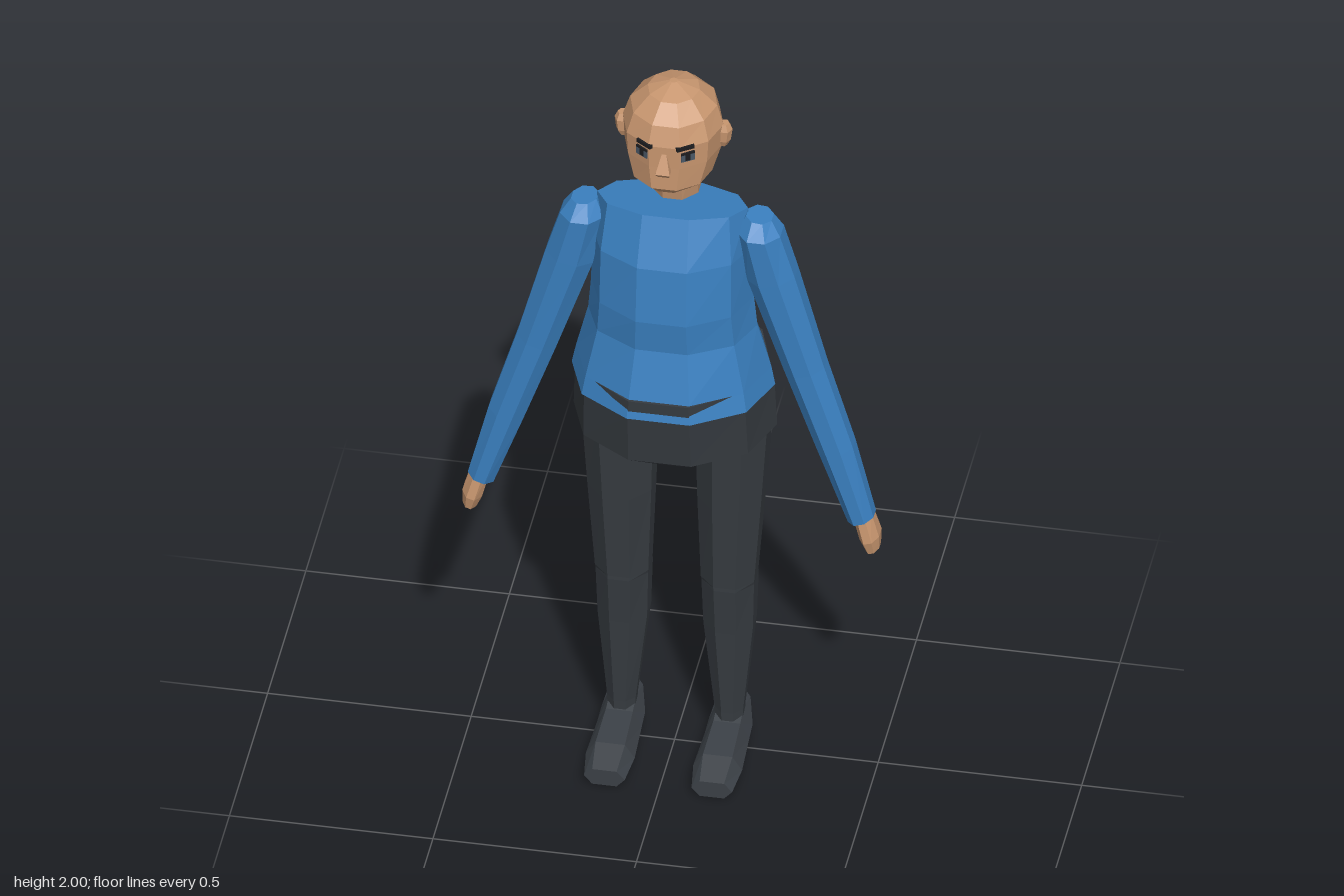
import * as THREE from 'three';

const mat = (name, color) => Object.assign(new THREE.MeshStandardMaterial({ color }), { name });

// Horizontal oval ring with a flat side to the front; tiltX / tiltZ raise y along x / z.
function oval(n, [x, y, z, rx, rz, tiltX = 0, tiltZ = 0]) {
  return Array.from({ length: n }, (_, i) => {
    const a = ((i + 0.5) / n) * Math.PI * 2;
    const dx = Math.sin(a) * rx, dz = Math.cos(a) * rz;
    return new THREE.Vector3(x + dx, y + dx * tiltX + dz * tiltZ, z + dz);
  });
}

// Faceted skin over a list of rings, closed at both ends.
function loft(rings) {
  const p = [], n = rings[0].length;
  const tri = (...vs) => vs.forEach((v) => p.push(v.x, v.y, v.z));
  const middle = (r) => r.reduce((s, v) => s.add(v), new THREE.Vector3()).divideScalar(n);
  const first = rings[0], last = rings[rings.length - 1];
  const c0 = middle(first), c1 = middle(last);
  for (let j = 0; j < n; j++) {
    const k = (j + 1) % n;
    for (let i = 0; i + 1 < rings.length; i++) {
      const a = rings[i], b = rings[i + 1];
      tri(a[j], a[k], b[k]);
      tri(a[j], b[k], b[j]);
    }
    tri(c0, first[k], first[j]);
    tri(c1, last[j], last[k]);
  }
  const g = new THREE.BufferGeometry();
  g.setAttribute('position', new THREE.Float32BufferAttribute(p, 3));
  g.computeVertexNormals();
  return g;
}

export function createModel() {
  const model = new THREE.Group();
  const skin = mat('skin', 0xc8966f);
  const shirt = mat('shirt blue', 0x3a80c0);
  const trousers = mat('trouser charcoal', 0x363b40);
  const shoe = mat('shoe grey', 0x3b4046);
  const eye = mat('eye slate', 0x4a5866);
  const brow = mat('brow black', 0x1d1d1f);

  const add = (name, geometry, material) => {
    const m = new THREE.Mesh(geometry, material);
    m.name = name;
    model.add(m);
    return m;
  };
  const body = (name, material, n, rows) => add(name, loft(rows.map((r) => oval(n, r))), material);

  // Trousers seat and sweater, rows are [x, y, z, rx, rz]
  body('hips', trousers, 10, [
    [0, 0.91, -0.01, 0.12, 0.125],
    [0, 0.98, -0.01, 0.25, 0.218],
    [0, 1.12, -0.002, 0.245, 0.227],
    [0, 1.17, 0.002, 0.236, 0.224],
  ]);
  body('sweater', shirt, 10, [
    [0, 1.12, 0.015, 0.25, 0.214],
    [0, 1.17, 0.012, 0.24, 0.206],
    [0, 1.3, 0.024, 0.208, 0.16],
    [0, 1.39, 0.028, 0.2, 0.165],
    [0, 1.54, 0.026, 0.198, 0.151],
    [0, 1.652, 0.026, 0.185, 0.1, 0, 0.15],
  ]);

  // Neck and head
  body('neck', skin, 8, [
    [0, 1.658, -0.03, 0.062, 0.064, 0, -0.05],
    [0, 1.78, 0.008, 0.06, 0.05],
  ]);
  body('head', skin, 10, [
    [0, 1.735, 0.045, 0.06, 0.068],
    [0, 1.765, 0.04, 0.1, 0.105],
    [0, 1.83, 0.022, 0.12, 0.123],
    [0, 1.89, 0.02, 0.124, 0.125],
    [0, 1.94, 0.012, 0.107, 0.114],
    [0, 1.98, 0.01, 0.064, 0.07],
    [0, 2.0, 0.01, 0.01, 0.01],
  ]);
  body('nose', skin, 4, [
    [0, 1.81, 0.138, 0.02, 0.018],
    [0, 1.822, 0.14, 0.025, 0.029],
    [0, 1.87, 0.134, 0.008, 0.008],
  ]);

  for (const s of [1, -1]) {
    const side = s > 0 ? 'left' : 'right';

    // Ears, eyes and brows
    body(`${side}Ear`, skin, 6, [
      [s * 0.122, 1.828, 0.016, 0.01, 0.01],
      [s * 0.125, 1.845, 0.016, 0.016, 0.018],
      [s * 0.127, 1.875, 0.014, 0.018, 0.022],
      [s * 0.125, 1.892, 0.014, 0.012, 0.014],
    ]);
    const plate = (name, w, h, x, y, z, material) => {
      const m = add(name, new THREE.BoxGeometry(w, h, 0.009), material);
      m.position.set(s * x, y, z);
      m.rotation.y = s * 0.6;
    };
    plate(`${side}Eye`, 0.036, 0.024, 0.055, 1.862, 0.124, eye);
    plate(`${side}EyeLid`, 0.036, 0.006, 0.055, 1.874, 0.126, brow);
    plate(`${side}Pupil`, 0.012, 0.018, 0.055, 1.862, 0.126, brow);
    plate(`${side}Brow`, 0.046, 0.01, 0.05, 1.89, 0.129, brow);

    // Sleeve and hand
    body(`${side}Sleeve`, shirt, 8, [
      [s * 0.467, 0.768, 0.037, 0.034, 0.042, s * 0.35],
      [s * 0.405, 0.97, 0.035, 0.046, 0.048, s * 0.3],
      [s * 0.33, 1.2, 0.035, 0.052, 0.052, s * 0.3],
      [s * 0.248, 1.47, 0.036, 0.063, 0.062, s * 0.2],
      [s * 0.217, 1.6, 0.036, 0.058, 0.066],
      [s * 0.215, 1.638, 0.03, 0.034, 0.04, s * -0.1],
    ]);
    body(`${side}Hand`, skin, 8, [
      [s * 0.495, 0.68, 0.037, 0.018, 0.034, s * 0.3],
      [s * 0.488, 0.715, 0.035, 0.026, 0.046, s * 0.3],
      [s * 0.467, 0.79, 0.037, 0.025, 0.034, s * 0.3],
    ]);

    // Trouser leg
    body(`${side}Leg`, trousers, 8, [
      [s * 0.132, 0.07, -0.022, 0.037, 0.042],
      [s * 0.132, 0.11, -0.022, 0.038, 0.042],
      [s * 0.13, 0.36, -0.034, 0.066, 0.07],
      [s * 0.13, 0.495, -0.032, 0.07, 0.082],
      [s * 0.13, 0.505, -0.026, 0.071, 0.075],
      [s * 0.135, 0.75, -0.03, 0.085, 0.094],
      [s * 0.14, 0.98, -0.032, 0.096, 0.105],
    ]);

    // Shoe, cross-sections from heel to toe: [z, half width, bottom, top]
    const sections = [
      [-0.077, 0.04, 0.07, 0.122],
      [-0.03, 0.054, 0, 0.1],
      [0.02, 0.055, 0, 0.085],
      [0.14, 0.06, 0, 0.073],
      [0.217, 0.05, 0.004, 0.048],
    ];
    const hexagon = ([z, w, lo, hi]) =>
      [[0.6, lo], [1, (lo + hi) / 2], [0.6, hi], [-0.6, hi], [-1, (lo + hi) / 2], [-0.6, lo]]
        .map(([u, y]) => new THREE.Vector3(s * 0.132 + u * w, y, z));
    add(`${side}Shoe`, loft(sections.map(hexagon)), shoe);
  }
  return model;
}
